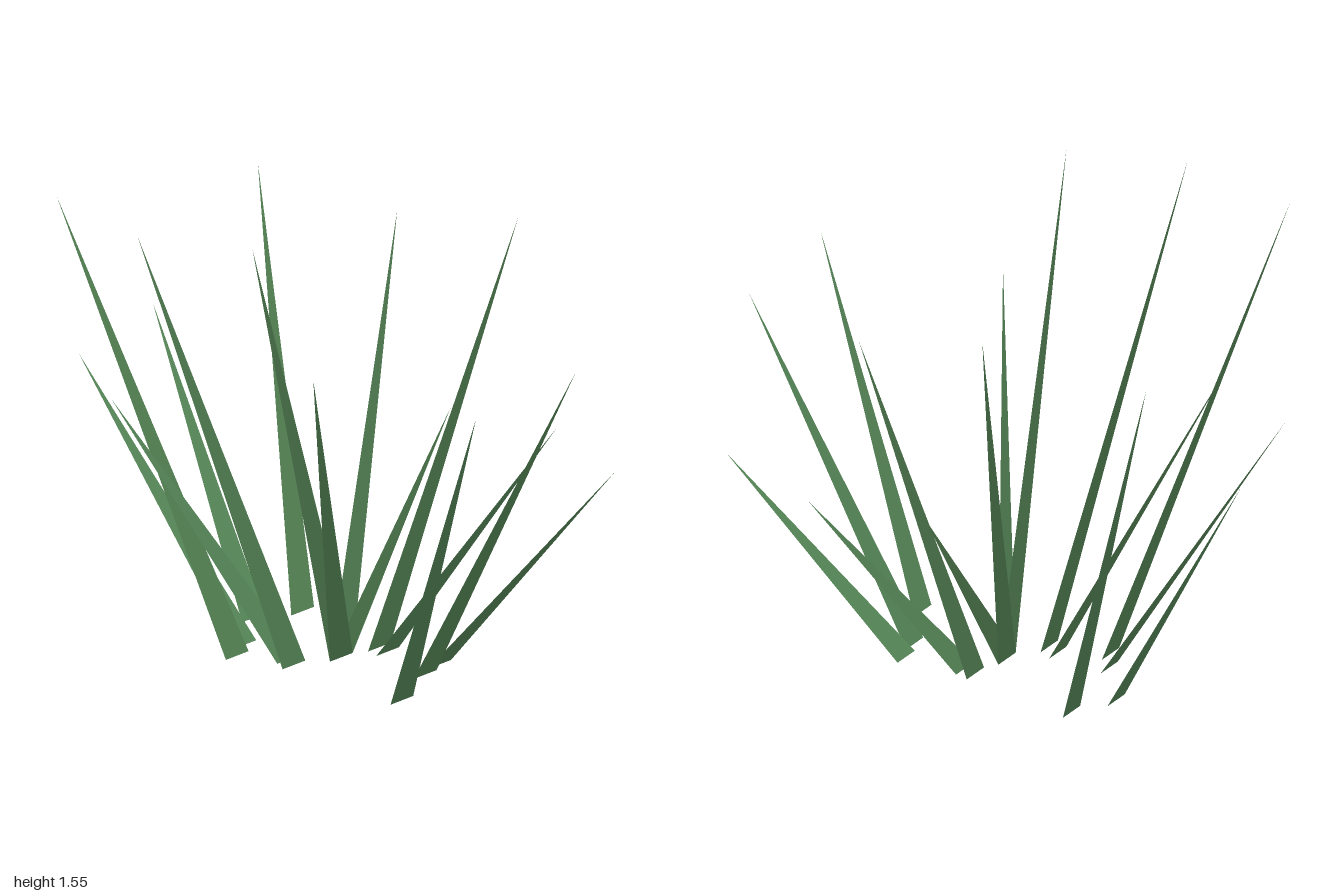
import * as THREE from 'three';

// Clump of flat, pointed grass blades fanning out from a common centre
export function createModel() {
  const group = new THREE.Group();
  group.name = 'grassClump';
  const material = new THREE.MeshStandardMaterial({
    color: 0x5f9460, side: THREE.DoubleSide, flatShading: true,
  });
  const halfWidth = 0.059;

  // One tapering blade: base edge along x on the ground, leaning to its tip
  function addBlade(baseX, baseZ, tipX, tipZ, height) {
    const geometry = new THREE.BufferGeometry();
    geometry.setAttribute('position', new THREE.Float32BufferAttribute([
      baseX - halfWidth, 0, baseZ,
      baseX + halfWidth, 0, baseZ,
      tipX, height, tipZ,
    ], 3));
    geometry.computeVertexNormals();
    const blade = new THREE.Mesh(geometry, material);
    blade.name = 'grassBlade' + (group.children.length + 1);
    group.add(blade);
  }

  // Five fans of three blades, each fan with one height: [baseX, baseZ, tipX, tipZ]
  const fans = [
    { height: 0.70, blades: [[-0.02, 0.04, 0.56, 0.03], [0.12, 0.12, 0.61, 0.43], [0.12, 0.335, 0.367, 0.865]] },
    { height: 1.13, blades: [[-0.02, 0.04, -0.53, 0.33], [0.007, 0.365, 0.06, 0.945], [-0.252, 0.475, -0.52, 0.995]] },
    { height: 1.55, blades: [[-0.02, 0.04, -0.6, 0.135], [-0.178, -0.03, -0.715, -0.25], [-0.215, -0.235, -0.55, -0.715]] },
    { height: 0.915, blades: [[-0.143, -0.08, -0.573, -0.47], [-0.11, -0.287, -0.26, -0.855], [0.127, -0.44, 0.302, -0.995]] },
    { height: 1.34, blades: [[-0.02, 0.04, 0.528, -0.165], [0.14, 0.07, 0.71, 0.19], [0.282, -0.36, 0.634, -0.825]] },
  ];
  for (const { height, blades } of fans) {
    for (const blade of blades) addBlade(...blade, height);
  }
  return group;
}
